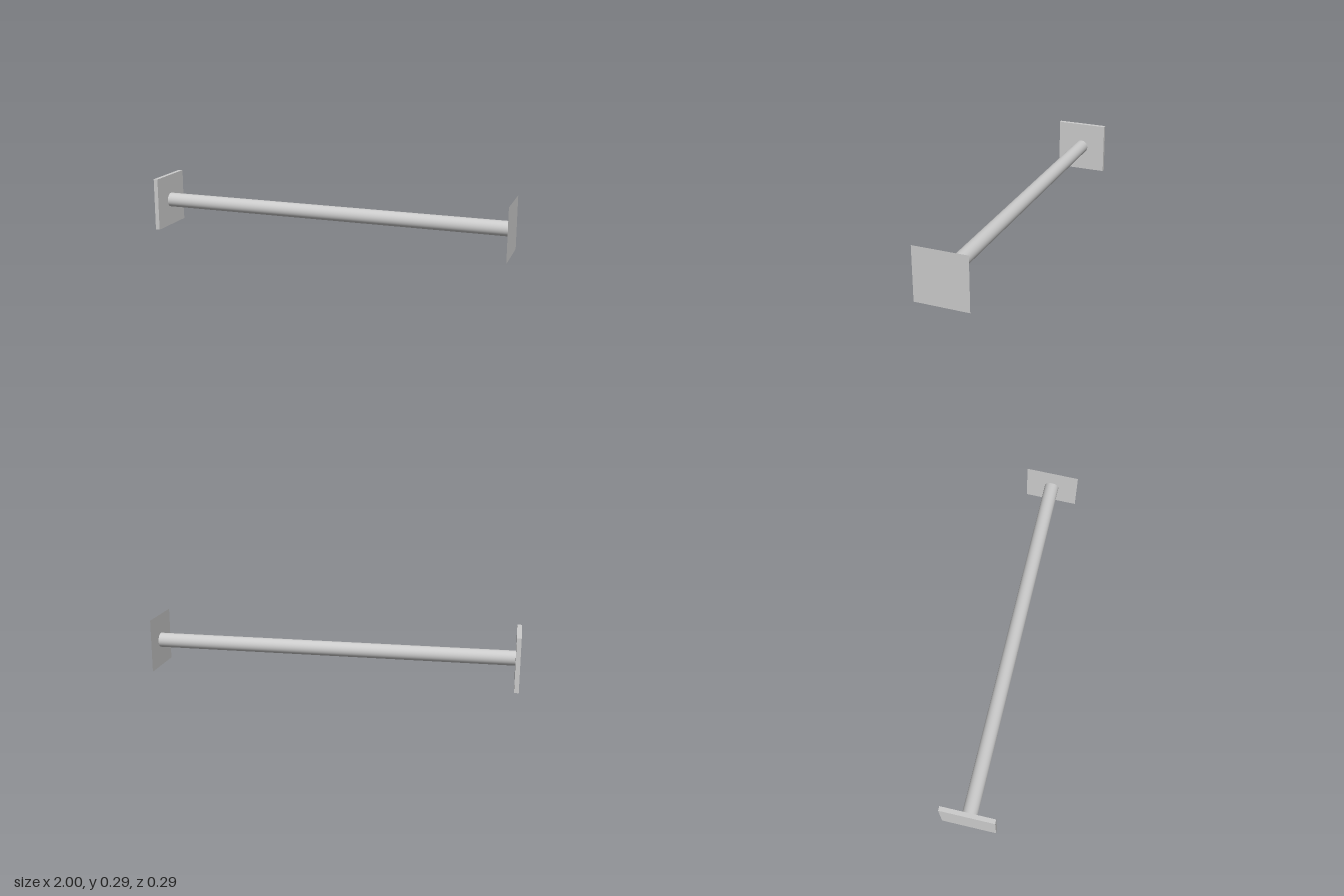
import * as THREE from 'three';

const SIZE = 0.293;        // side of the square end plates
const THICK = 0.024;       // thickness of the solid plate
const RADIUS = 0.04;       // bar radius
const MID = SIZE / 2;      // height of the bar axis

export function createModel() {
  const group = new THREE.Group();
  const material = new THREE.MeshStandardMaterial({ color: 0xcccccc });
  const thinMaterial = new THREE.MeshStandardMaterial({ color: 0xcccccc, side: THREE.DoubleSide });

  const add = (name, geometry, x, mat = material) => {
    const mesh = new THREE.Mesh(geometry, mat);
    mesh.name = name;
    mesh.position.set(x, MID, 0);
    group.add(mesh);
  };

  // Solid mounting plate on the right end
  add('rightPlate', new THREE.BoxGeometry(THICK, SIZE, SIZE), -1 + THICK / 2);

  // Round bar running from the solid plate to the thin one
  const length = 2 - THICK;
  const bar = new THREE.CylinderGeometry(RADIUS, RADIUS, length, 48, 1, true).rotateZ(Math.PI / 2);
  add('bar', bar, THICK / 2, thinMaterial);

  // Thin sheet closing the left end
  add('leftPlate', new THREE.PlaneGeometry(SIZE, SIZE).rotateY(Math.PI / 2), 1, thinMaterial);

  return group;
}
